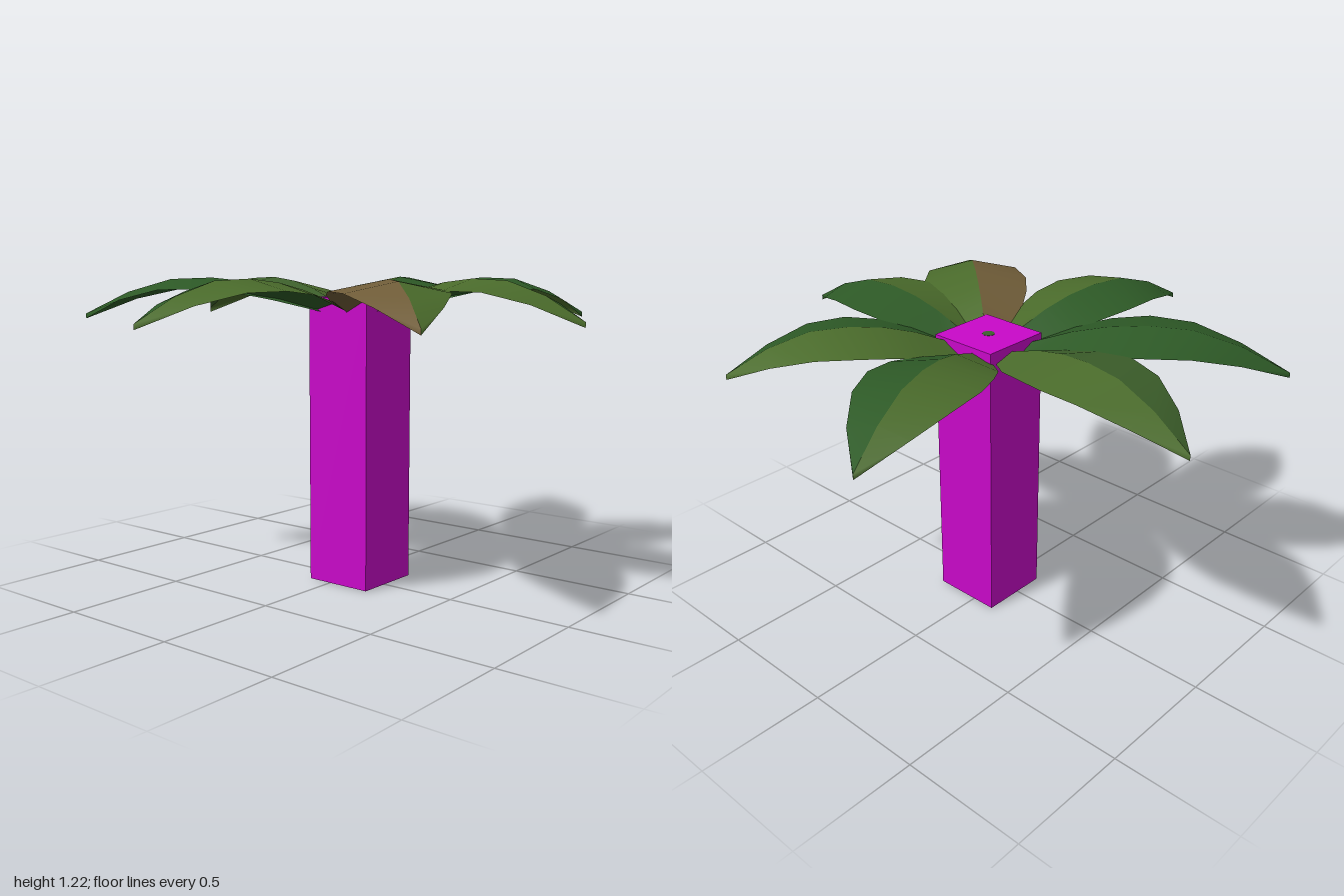
import * as THREE from 'three';

const CX = 0.042, CZ = -0.019;
const DARK = 0x2d5926, MID = 0x3d602b, LIGHT = 0x4a6b2b, BROWN = 0x6f5c38;

// leaf stations: [fraction of length, half width, ridge height, edge drop]
const STATIONS = [
  [0, 0.03, 1.075, 0.02], [0.15, 0.085, 1.125, 0.03], [0.28, 0.165, 1.175, 0.04],
  [0.4, 0.2, 1.205, 0.042], [0.53, 0.215, 1.22, 0.042], [0.68, 0.187, 1.214, 0.04],
  [0.84, 0.115, 1.162, 0.03], [1, 0, 1.074, 0.02],
];

// tip x, tip z, colours of the two halves
const LEAVES = [
  [-0.31, -1.0, LIGHT, DARK], [0.595, -0.835, LIGHT, DARK], [0.998, -0.06, DARK, LIGHT],
  [0.793, 0.63, LIGHT, BROWN], [-0.11, 1.0, LIGHT, DARK], [-0.915, 0.58, DARK, DARK],
  [-1.0, -0.2, MID, LIGHT],
];

const paint = (color, side = THREE.FrontSide) =>
  new THREE.MeshStandardMaterial({ color, side });

// One half of a leaf, from its slightly raised ridge to its outer edge;
// the drop at the tip leaves a short blunt end
function leafHalf(tipX, tipZ, side, color) {
  const dx = tipX - CX, dz = tipZ - CZ, length = Math.hypot(dx, dz);
  const px = (side * dz) / length, pz = (-side * dx) / length;
  const points = [], faces = [];
  STATIONS.forEach(([t, w, y, drop], i) => {
    const x = CX + dx * t, z = CZ + dz * t;
    points.push(x, y, z, x + px * w, y - drop, z + pz * w);
    if (i === STATIONS.length - 1) return;
    const a = 2 * i, b = a + 1, c = a + 2, d = a + 3;
    if (side > 0) faces.push(a, c, b, b, c, d);
    else faces.push(a, b, c, b, d, c);
  });
  const geometry = new THREE.BufferGeometry();
  geometry.setAttribute('position', new THREE.Float32BufferAttribute(points, 3));
  geometry.setIndex(faces);
  geometry.computeVertexNormals();
  return new THREE.Mesh(geometry, paint(color, THREE.DoubleSide));
}

export function createModel() {
  const model = new THREE.Group();
  model.name = 'palmPlant';

  // square post
  const post = new THREE.Mesh(new THREE.BoxGeometry(0.286, 1.144, 0.286), paint(0xc808c8));
  post.position.set(CX, 0.573, CZ);
  post.name = 'post';
  model.add(post);

  // slim stem inside the post, its ends just showing
  const stem = new THREE.Mesh(new THREE.CylinderGeometry(0.025, 0.06, 1.146, 8), paint(MID));
  stem.position.set(CX, 0.573, CZ);
  stem.name = 'stem';
  model.add(stem);

  // ring of drooping leaves
  LEAVES.forEach(([x, z, first, second], i) => {
    const leaf = new THREE.Group();
    leaf.name = `leaf${i + 1}`;
    const halves = [leafHalf(x, z, 1, first), leafHalf(x, z, -1, second)];
    halves.forEach((half, k) => { half.name = k ? 'leafRightHalf' : 'leafLeftHalf'; });
    leaf.add(...halves);
    model.add(leaf);
  });

  return model;
}
